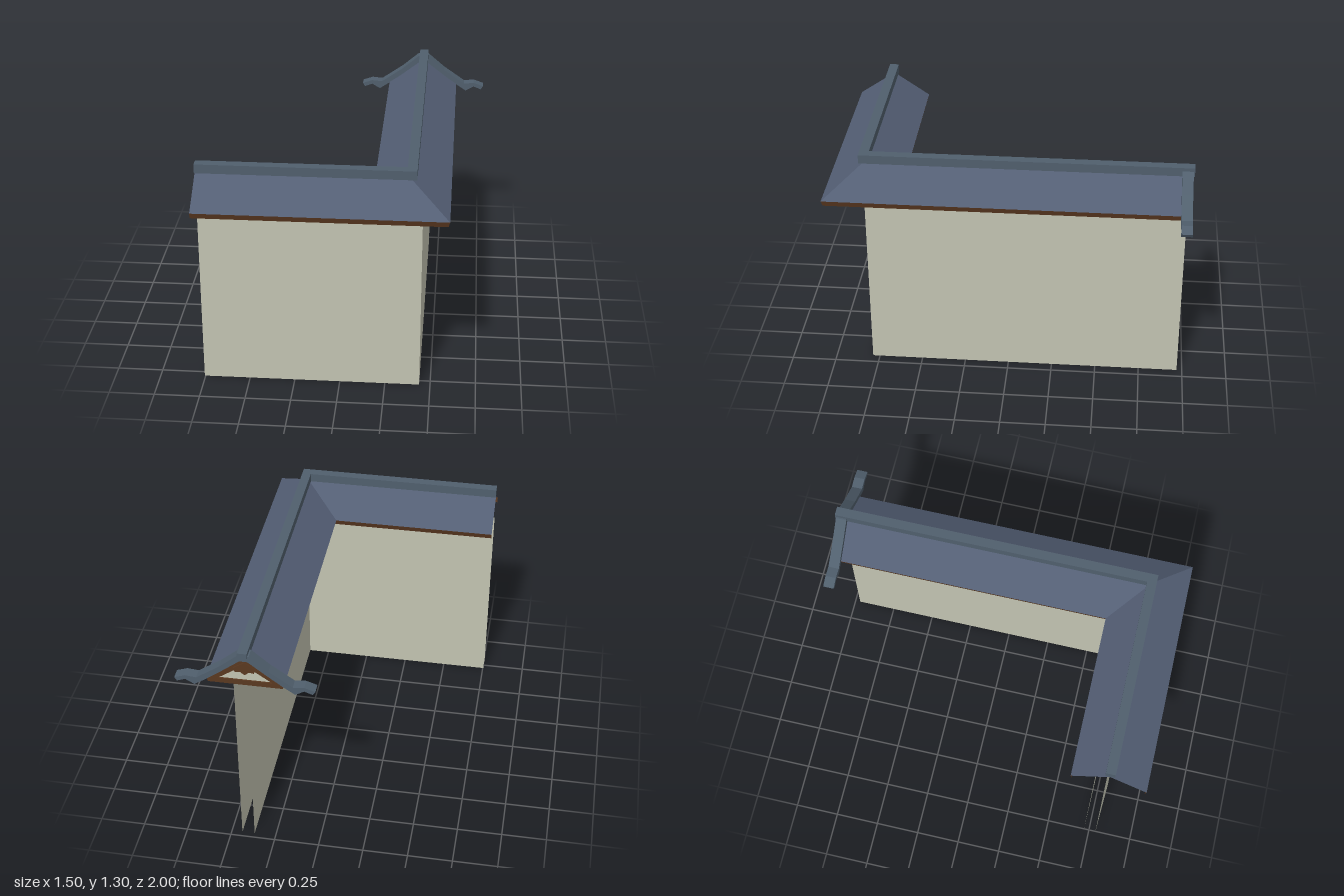
import * as THREE from 'three';

const CX = 0.377, CZ = 0.793;   // ridge corner of the L plan
const X_END = -0.755, Z_END = -0.97;

export function createModel() {
  const model = new THREE.Group();
  const mat = (name, color, side = THREE.DoubleSide) => {
    const m = new THREE.MeshStandardMaterial({ color, side });
    m.name = name;
    return m;
  };
  const plaster = mat('plaster', 0xc2c3b1);
  const tile = mat('roofTile', 0x535e74);
  const ridgeTile = mat('ridgeTile', 0x505f6d, THREE.FrontSide);
  const wood = mat('darkWood', 0x5a3820);

  const add = (name, geometry, material) => {
    const mesh = new THREE.Mesh(geometry, material);
    mesh.name = name;
    model.add(mesh);
    return mesh;
  };

  // Sweep a straight profile [[offset, y], [offset, y]] around the mitred L plan
  const sweep = ([a, b], cx = CX, cz = CZ) => {
    const row = ([u, y]) => [
      [X_END, y, cz + u], [cx + u, y, cz + u], [cx + u, y, Z_END],
    ];
    const p = row(a), q = row(b), pos = [];
    for (let i = 0; i < 2; i++) {
      pos.push(...p[i], ...p[i + 1], ...q[i + 1], ...p[i], ...q[i + 1], ...q[i]);
    }
    const g = new THREE.BufferGeometry();
    g.setAttribute('position', new THREE.Float32BufferAttribute(pos, 3));
    g.computeVertexNormals();
    return g;
  };

  // Two parallel wall faces, open at the ends
  add('outerWall', sweep([[0, 0], [0, 1.1]], 0.44, 0.79), plaster);
  add('innerWall', sweep([[-0.07, 1.1], [-0.07, 0]], 0.44, 0.79), plaster);

  // Roof slopes and leaning eave boards
  add('outerRoof', sweep([[0.207, 1.11], [0, 1.25]]), tile);
  add('innerRoof', sweep([[0, 1.25], [-0.207, 1.11]]), tile);
  add('outerEave', sweep([[0.199, 1.08], [0.207, 1.11]]), wood);
  add('innerEave', sweep([[-0.207, 1.11], [-0.199, 1.08]]), wood);

  // Ridge beam, one box per wing
  const beam = (name, x0, x1, z0, z1) => {
    add(name, new THREE.BoxGeometry(x1 - x0, 0.05, z1 - z0), ridgeTile)
      .position.set((x0 + x1) / 2, 1.28, (z0 + z1) / 2);
  };
  beam('frontRidge', X_END, 0.355, 0.765, 0.818);
  beam('sideRidge', 0.355, 0.407, -1, 0.818);

  // Gable infill, its frame and the pendant below the apex
  const shapeOf = (pts) => new THREE.Shape(pts.map(([x, y]) => new THREE.Vector2(x, y)));
  const plate = (name, shape, z, depth, material) => {
    const g = new THREE.ExtrudeGeometry(shape, { depth, bevelEnabled: false });
    add(name, g, material).position.set(CX, 0, z);
  };
  plate('gablePanel', shapeOf([[-0.195, 1.085], [0.195, 1.085], [0, 1.235]]), -0.965, 0.004, plaster);
  const frame = shapeOf([[-0.199, 1.08], [0.199, 1.08], [0.207, 1.11], [0, 1.25], [-0.207, 1.11]]);
  frame.holes.push(shapeOf([[-0.145, 1.11], [0, 1.21], [0.145, 1.11]]));
  plate('gableFrame', frame, -0.973, 0.008, wood);
  plate('gablePendant', shapeOf([
    [-0.06, 1.19], [-0.05, 1.165], [-0.025, 1.17], [0, 1.15],
    [0.025, 1.17], [0.05, 1.165], [0.06, 1.19], [0, 1.23],
  ]), -0.979, 0.008, wood);

  // Curved verge ridges with upturned tips, mirrored about the apex
  const half = [
    [0.03, 1.285], [0.13, 1.2], [0.255, 1.113], [0.315, 1.119], [0.373, 1.099],
    [0.36, 1.078], [0.315, 1.095], [0.267, 1.067], [0.2, 1.112], [0.12, 1.172], [0.02, 1.25],
  ];
  const mirrored = half.map(([x, y]) => [-x, y]).reverse();
  plate('vergeRidge', shapeOf([...half, ...mirrored]), -0.993, 0.06, ridgeTile);

  return model;
}
